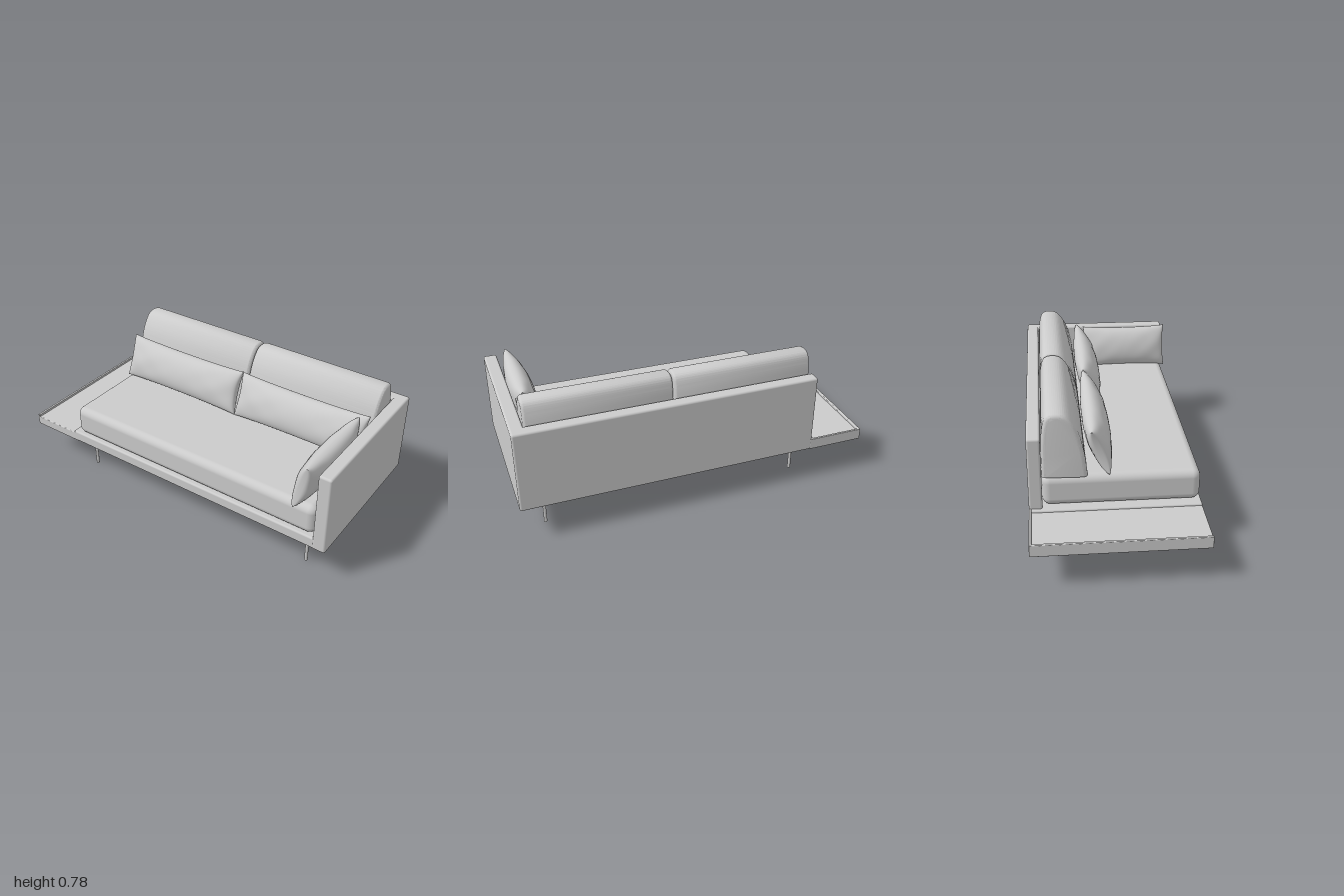
import * as THREE from 'three';
import { mergeGeometries, mergeVertices, toCreasedNormals } from 'three/addons/utils/BufferGeometryUtils.js';
import { RoundedBoxGeometry } from 'three/addons/geometries/RoundedBoxGeometry.js';

const material = new THREE.MeshStandardMaterial({ color: 0xcccccc });

export function createModel() {
  const sofa = new THREE.Group();
  sofa.name = 'sofa';

  const add = (name, geometry) => {
    const mesh = new THREE.Mesh(geometry, material);
    mesh.name = name;
    sofa.add(mesh);
    return mesh;
  };

  // Rounded box given by its [min, max] range on each axis
  const box = (name, [x0, x1], [y0, y1], [z0, z1], radius) =>
    add(name, new RoundedBoxGeometry(x1 - x0, y1 - y0, z1 - z0, 4, radius))
      .position.set((x0 + x1) / 2, (y0 + y1) / 2, (z0 + z1) / 2);

  // Frame: platform, backrest and one arm
  box('platform', [-0.7, 0.94], [0.19, 0.255], [-0.45, 0.44], 0.01);
  box('backPanel', [-0.68, 0.99], [0.19, 0.655], [-0.455, -0.385], 0.012);
  box('armPanel', [0.927, 1], [0.19, 0.655], [-0.455, 0.443], 0.012);

  // Side table with a low rim at its outer and rear edges
  box('sideTable', [-1, -0.67], [0.19, 0.244], [-0.455, 0.44], 0.005);
  box('tableOuterRim', [-1, -0.984], [0.2, 0.257], [-0.455, 0.44], 0.004);
  box('tableRearRim', [-1, -0.67], [0.2, 0.257], [-0.455, -0.441], 0.004);

  // Legs
  for (const x of [-0.615, 0.857]) {
    for (const z of [0.348, -0.333]) {
      add('leg', new THREE.CylinderGeometry(0.009, 0.009, 0.2, 20)).position.set(x, 0.1, z);
    }
  }

  // Seat cushion
  box('seatCushion', [-0.665, 0.922], [0.255, 0.428], [-0.385, 0.432], 0.042);

  // Back cushions: side profile (-z, y) extruded along x with soft ends
  const profile = new THREE.Shape();
  profile.moveTo(0.15, 0.425);
  profile.splineThru([
    [0.165, 0.55], [0.19, 0.655], [0.22, 0.72], [0.26, 0.765], [0.305, 0.777],
    [0.35, 0.765], [0.37, 0.72], [0.382, 0.62], [0.384, 0.425],
  ].map(([a, b]) => new THREE.Vector2(a, b)));
  profile.closePath();
  const bevel = 0.022;
  const cushionWidth = 0.794;
  const cushion = new THREE.ExtrudeGeometry(profile, {
    depth: cushionWidth - 2 * bevel, curveSegments: 32,
    bevelSize: bevel, bevelThickness: bevel, bevelOffset: -bevel, bevelSegments: 5,
  });
  cushion.rotateY(Math.PI / 2);
  const softCushion = toCreasedNormals(cushion, 0.7);
  for (const x of [-0.667, 0.131]) {
    add('backCushion', softCushion).position.x = x + bevel;
  }

  // Pillows: two bulging sheets sharing a pinched seam
  const pillowGeometry = (width, height, depth, seed) => {
    const sheet = new THREE.PlaneGeometry(2, 2, 56, 32);
    const p = sheet.attributes.position;
    for (let i = 0; i < p.count; i++) {
      const u = Math.sin(p.getX(i) * Math.PI / 2);
      const v = Math.sin(p.getY(i) * Math.PI / 2);
      const cu = Math.max(0, 1 - u * u), cv = Math.max(0, 1 - v * v);
      const crease = 1 + 0.06 * Math.sin(11 * u + seed) * Math.sin(5 * v + 2 * u + seed) * Math.abs(u);
      p.setXYZ(i,
        u * width / 2 * (1 - 0.035 * cv),
        v * height / 2 * (1 - 0.1 * Math.pow(cu, 0.6)),
        depth / 2 * Math.pow(cu, 0.3) * Math.pow(cv, 0.45) * crease);
    }
    sheet.deleteAttribute('uv');
    sheet.deleteAttribute('normal');
    const whole = mergeVertices(mergeGeometries([sheet, sheet.clone().rotateY(Math.PI)]), 1e-5);
    whole.computeVertexNormals();
    return whole;
  };
  const pillow = (name, size, position, yaw, lean, seed) => {
    const mesh = add(name, pillowGeometry(...size, seed));
    mesh.rotation.set(lean, yaw, 0, 'YXZ');
    mesh.position.set(...position);
  };
  pillow('lumbarPillowRight', [0.79, 0.26, 0.135], [-0.265, 0.55, -0.085], 0, -0.36, 1);
  pillow('lumbarPillowLeft', [0.79, 0.26, 0.135], [0.525, 0.55, -0.085], 0, -0.36, 3);
  pillow('armPillow', [0.54, 0.27, 0.14], [0.84, 0.543, 0.182], -Math.PI / 2, -0.25, 5);

  return sofa;
}
